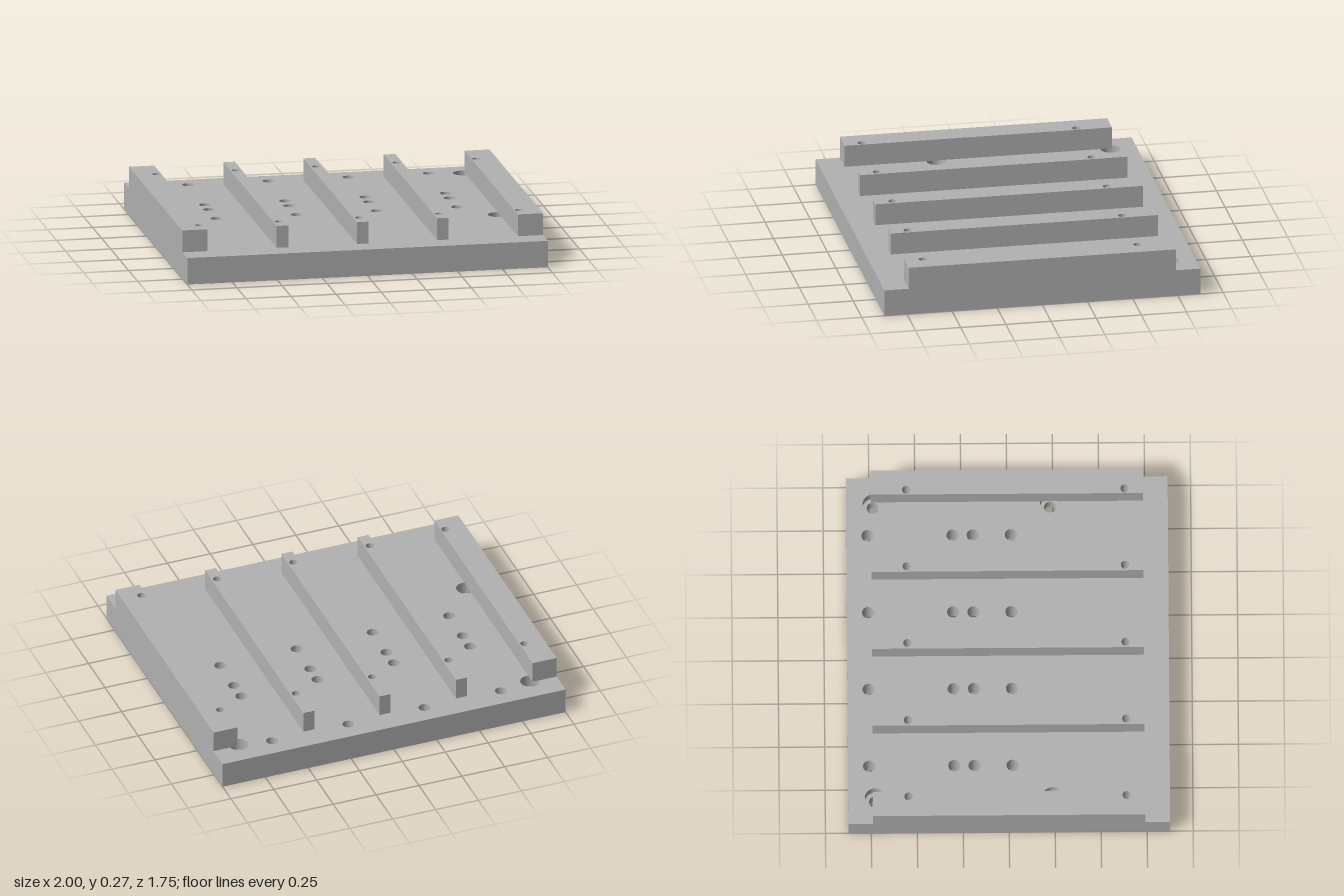
import * as THREE from 'three';
import { mergeGeometries } from 'three/addons/utils/BufferGeometryUtils.js';

const T = 0.148, TOP = 0.27, W = 1, D = 0.875, RAIL = 0.74; // plate and rail sizes
const SEG = 24;
const BOLT_R = 0.023, HOLE_R = 0.033, BORE_R = 0.055, NUT_R = 0.043;
const BORE_DEPTH = 0.07, NUT_DEPTH = 0.06;

// Outline of a round (24 sided) or hexagonal opening, vertices on the x axis
function ring(x, y, r, n = SEG) {
  return Array.from({ length: n }, (_, i) => {
    const a = (i / n) * Math.PI * 2;
    return new THREE.Vector2(x + r * Math.cos(a), y + r * Math.sin(a));
  });
}

function rect(x0, x1, d) {
  return new THREE.Shape([[x0, -d], [x1, -d], [x1, d], [x0, d]].map(p => new THREE.Vector2(...p)));
}

// Flat horizontal face at height y, looking up or down, pierced by [x, z, radius, sides]
function cap(shape, holes, y, up) {
  const s = up ? -1 : 1;
  holes.forEach(([x, z, r, n]) => shape.holes.push(new THREE.Path(ring(x, s * z, r, n))));
  return new THREE.ShapeGeometry(shape).rotateX(s * Math.PI / 2).translate(0, y, 0).toNonIndexed();
}

// Inward-facing wall of a hole, profile listed from top to bottom
function well(x, z, profile, n = SEG) {
  const g = new THREE.LatheGeometry(profile.map(p => new THREE.Vector2(...p)), n)
    .rotateY(Math.PI / 2).translate(x, 0, z).toNonIndexed();
  g.computeVertexNormals();
  return g;
}

export function createModel() {
  const group = new THREE.Group();
  const grey = new THREE.MeshStandardMaterial({ color: 0xb2b2b2 });
  grey.name = 'grey';
  const add = (name, geometry) => {
    const mesh = new THREE.Mesh(geometry, grey);
    mesh.name = name;
    group.add(mesh);
  };

  // Hole layout
  const plain = [], bolts = [], bores = [];
  for (const x of [-0.667, -0.222, 0.222, 0.667])
    for (const z of [-0.76, -0.297, -0.187, 0.02]) plain.push([x, z]);
  for (const x of [-0.887, -0.445, 0, 0.445, 0.887])
    for (const z of [-0.547, 0.64]) bolts.push([x, z]);
  for (const x of [-0.85, 0.85])
    for (const z of [-0.73, 0.235]) bores.push([x, z]);
  const sized = (list, r, n) => list.map(([x, z]) => [x, z, r, n]);

  // Base plate faces
  const parts = [
    cap(rect(-W, W, D), [...sized(plain, HOLE_R), ...sized(bolts, BOLT_R), ...sized(bores, BORE_R)], T, true),
    cap(rect(-W, W, D), [...sized(plain, HOLE_R), ...sized(bolts, NUT_R, 6), ...sized(bores, HOLE_R)], 0, false),
  ];
  for (let i = 0; i < 4; i++) {
    const [width, out] = i % 2 ? [2 * D, W] : [2 * W, D];
    parts.push(new THREE.PlaneGeometry(width, T).translate(0, T / 2, out)
      .rotateY(i * Math.PI / 2).toNonIndexed());
  }

  // Plain holes and counterbored mounting holes
  for (const [x, z] of plain) parts.push(well(x, z, [[HOLE_R, T], [HOLE_R, 0]]));
  for (const [x, z] of bores) {
    const ledge = T - BORE_DEPTH;
    parts.push(well(x, z, [[BORE_R, T], [BORE_R, ledge], [HOLE_R, ledge], [HOLE_R, 0]]));
  }

  // Bolt holes ending in hexagonal nut pockets underneath
  for (const [x, z] of bolts) {
    parts.push(well(x, z, [[BOLT_R, T], [BOLT_R, NUT_DEPTH]]));
    parts.push(well(x, z, [[NUT_R, NUT_DEPTH], [NUT_R, 0]], 6));
    parts.push(cap(new THREE.Shape(ring(x, z, NUT_R, 6)), [[x, z, BOLT_R]], NUT_DEPTH, false));
  }
  add('basePlate', mergeGeometries(parts));

  // Rails, each drilled for its two bolts
  const rails = [
    ['rightEdgeRail', -1, -0.86], ['rightInnerRail', -0.477, -0.413], ['centreRail', -0.032, 0.032],
    ['leftInnerRail', 0.413, 0.477], ['leftEdgeRail', 0.86, 1],
  ];
  for (const [name, x0, x1] of rails) {
    const shape = rect(x0, x1, RAIL);
    for (const [x, z] of bolts)
      if (x > x0 && x < x1) shape.holes.push(new THREE.Path(ring(x, -z, BOLT_R)));
    add(name, new THREE.ExtrudeGeometry(shape, { depth: TOP - T, bevelEnabled: false })
      .rotateX(-Math.PI / 2).translate(0, T, 0));
  }
  return group;
}
